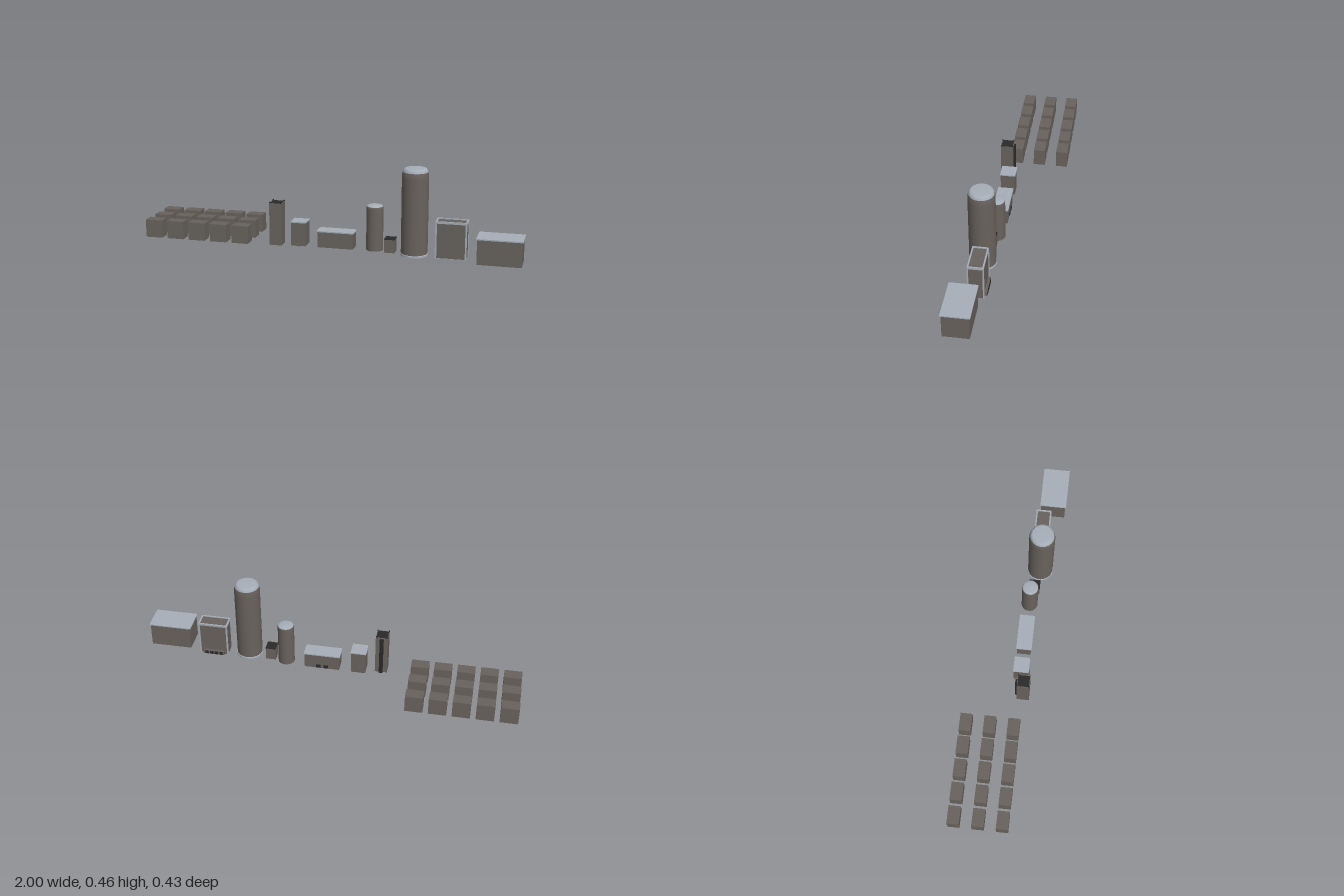
import * as THREE from 'three';

export function createModel() {
  const root = new THREE.Group();
  root.name = 'buildingSet';
  const mat = (name, color) => Object.assign(new THREE.MeshStandardMaterial({ color }), { name });
  const wall = mat('warmGreyWall', 0x68625d);
  const metal = mat('paleMetal', 0xa6aeb8);
  const dark = mat('charcoal', 0x2a2a2b);

  const group = (name) => {
    const g = new THREE.Group();
    g.name = name;
    root.add(g);
    return g;
  };
  const add = (parent, name, geometry, material) => {
    const m = new THREE.Mesh(geometry, material);
    m.name = name;
    parent.add(m);
    return m;
  };
  // Box given by its lower and upper limits on each axis
  const box = (parent, name, material, x0, x1, y0, y1, z0, z1) => {
    const m = add(parent, name, new THREE.BoxGeometry(x1 - x0, y1 - y0, z1 - z0), material);
    m.position.set((x0 + x1) / 2, (y0 + y1) / 2, (z0 + z1) / 2);
    return m;
  };
  // Turned part from [radius, height] points
  const turned = (parent, name, material, points, x, z) => {
    const m = add(parent, name, new THREE.LatheGeometry(points.map((p) => new THREE.Vector2(...p)), 48), material);
    m.position.set(x, 0, z);
    return m;
  };

  // Field of small blocks
  const blocks = group('smallBlocks');
  for (const z of [0.063, -0.06, -0.184]) {
    for (let i = 0; i < 5; i++) {
      const x = -1 + i * 0.12;
      box(blocks, 'smallBlock', wall, x, x + 0.092, 0.003, 0.095, z - 0.031, z + 0.031);
      box(blocks, 'blockBase', wall, x + 0.003, x + 0.089, 0, 0.003, z - 0.029, z + 0.029);
    }
  }

  // Slim square tower with dark roof and rear shaft
  const slim = group('slimTower');
  box(slim, 'slimBody', wall, -0.3, -0.236, 0.015, 0.236, 0.06, 0.125);
  box(slim, 'slimRoof', dark, -0.297, -0.239, 0.236, 0.238, 0.063, 0.122);
  for (const x of [-0.3, -0.241]) {
    for (const z of [0.06, 0.12]) box(slim, 'cornerPost', dark, x, x + 0.005, 0.236, 0.242, z, z + 0.005);
  }
  box(slim, 'rearShaft', dark, -0.278, -0.258, 0.015, 0.23, 0.05, 0.06);

  // Low flat-roofed houses: [name, x0, x1, top, z0, z1, overhang]
  for (const [name, x0, x1, top, z0, z1, o] of [
    ['smallHouse', -0.189, -0.113, 0.142, 0.033, 0.108, 0.003],
    ['longHouse', -0.049, 0.136, 0.102, 0.035, 0.108, 0.004],
    ['wideHall', 0.775, 0.992, 0.146, 0.08, 0.211, 0.005],
  ]) {
    const g = group(name);
    box(g, 'houseBody', wall, x0, x1, 0.015, top - 0.006, z0, z1);
    box(g, 'roofSlab', metal, x0 - o, x1 + o, top - 0.006, top, z0 - o, z1 + o);
  }
  box(root.getObjectByName('smallHouse'), 'frontStep', wall, -0.162, -0.14, 0.015, 0.03, 0.108, 0.116);
  for (const x of [0.01, 0.05]) {
    box(root.getObjectByName('longHouse'), 'rearVent', dark, x, x + 0.025, 0.018, 0.036, 0.031, 0.035);
  }
  box(root.getObjectByName('wideHall'), 'floorPanel', dark, 0.81, 0.957, 0.013, 0.015, 0.1, 0.19);

  // Slender round tower
  const round = group('slenderRoundTower');
  turned(round, 'slenderBody', wall, [[0, 0.015], [0.043, 0.015], [0.043, 0.015], [0.043, 0.234], [0.043, 0.234], [0.041, 0.242]], 0.242, 0.073);
  turned(round, 'slenderCap', metal, [[0.041, 0.242], [0.038, 0.246], [0.03, 0.249], [0, 0.251]], 0.242, 0.073);

  // Little dark-roofed hut
  const hut = group('hut');
  box(hut, 'hutBody', wall, 0.3, 0.353, 0.015, 0.083, 0.062, 0.119);
  box(hut, 'hutRoof', dark, 0.299, 0.354, 0.083, 0.086, 0.061, 0.12);

  // Great round tower with shouldered top and base ring
  const great = group('greatRoundTower');
  turned(great, 'greatBody', wall, [[0, 0.014], [0.067, 0.014], [0.067, 0.014], [0.067, 0.41], [0.067, 0.41], [0.0665, 0.424], [0.063, 0.438]], 0.452, 0.11);
  turned(great, 'greatCap', metal, [[0.063, 0.438], [0.06, 0.448], [0.055, 0.454], [0.048, 0.457], [0, 0.457]], 0.452, 0.11);
  turned(great, 'baseRing', metal, [[0.066, 0.014], [0.07, 0.014], [0.07, 0.014], [0.07, 0.023], [0.07, 0.023], [0.066, 0.025]], 0.452, 0.11);

  // Framed block with pale edge trims
  const framed = group('framedBlock');
  box(framed, 'framedBody', wall, 0.563, 0.714, 0.013, 0.195, 0.063, 0.138);
  for (const x of [0.56, 0.709]) {
    for (const z of [0.059, 0.134]) box(framed, 'cornerTrim', metal, x, x + 0.008, 0.013, 0.193, z, z + 0.007);
    box(framed, 'sideTopTrim', metal, x, x + 0.008, 0.189, 0.2, 0.061, 0.139);
  }
  for (const z of [0.06, 0.133]) box(framed, 'topTrim', metal, 0.563, 0.714, 0.189, 0.2, z, z + 0.007);
  box(framed, 'underside', metal, 0.565, 0.712, 0.011, 0.013, 0.064, 0.137);
  box(framed, 'rearPorch', wall, 0.582, 0.694, 0.013, 0.035, 0.05, 0.063);
  for (let i = 0; i < 4; i++) {
    box(framed, 'rearDoor', dark, 0.59 + i * 0.026, 0.608 + i * 0.026, 0.016, 0.032, 0.047, 0.05);
  }

  return root;
}
